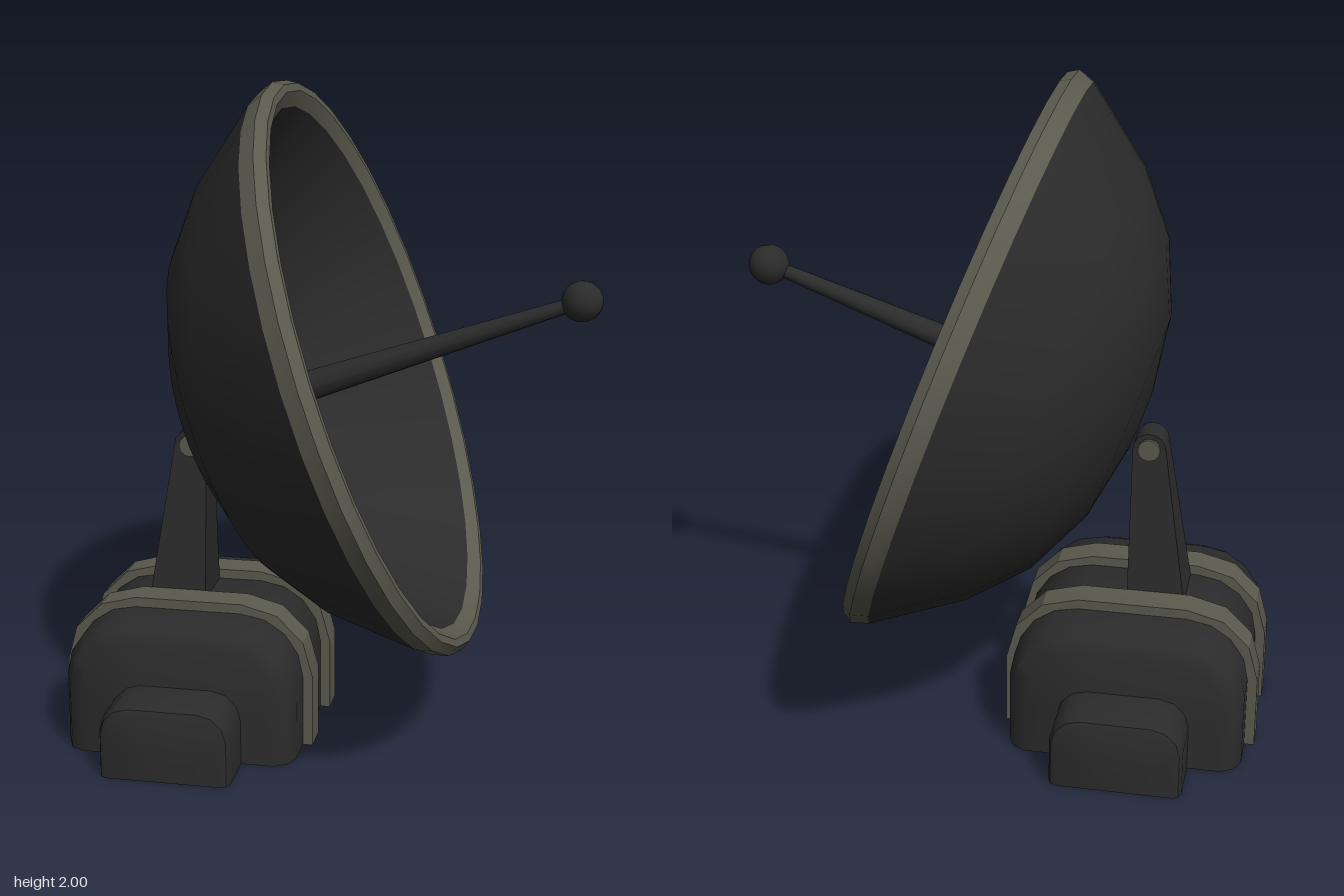
import * as THREE from 'three';
import { toCreasedNormals } from 'three/addons/utils/BufferGeometryUtils.js';

const dark = new THREE.MeshStandardMaterial({ color: 0x2b2b2b, side: THREE.DoubleSide });
const trim = new THREE.MeshStandardMaterial({ color: 0x5a5a4e, side: THREE.DoubleSide });

function add(parent, name, geometry, material, x = 0, y = 0, z = 0) {
  const mesh = new THREE.Mesh(geometry, material);
  mesh.name = name;
  mesh.position.set(x, y, z);
  parent.add(mesh);
  return mesh;
}

// Half outline of a round-shouldered arch, from +x over the top to -x.
function archPoints(halfW, h, r, segs) {
  const pts = [[halfW, 0]];
  for (const side of [1, -1]) {
    for (let k = 0; k <= segs; k++) {
      const a = (side > 0 ? k : segs - k) / segs * Math.PI / 2;
      pts.push([side * (halfW - r + r * Math.cos(a)), h - r + r * Math.sin(a)]);
    }
  }
  pts.push([-halfW, 0]);
  return pts;
}

// Arch shell, open underneath, lofted through [z, inset] stations; inset null closes an end.
function archShell({ halfW, h, r, segs, stations, crease }) {
  const n = 2 * segs + 4;
  const pos = [], index = [];
  for (const [z, inset] of stations) {
    const ring = inset === null
      ? Array(n).fill([0, 0])
      : archPoints(halfW - inset, h - inset, r - inset * 0.5, segs);
    for (const [x, y] of ring) pos.push(x, y, z);
  }
  for (let i = 0; i < stations.length - 1; i++) {
    for (let j = 0; j < n - 1; j++) {
      const a = i * n + j, b = a + 1, c = a + n, d = c + 1;
      if (stations[i][1] !== null) index.push(a, b, c);
      if (stations[i + 1][1] !== null) index.push(b, d, c);
    }
  }
  const g = new THREE.BufferGeometry();
  g.setAttribute('position', new THREE.Float32BufferAttribute(pos, 3));
  g.setIndex(index);
  return toCreasedNormals(g.toNonIndexed(), crease);
}

function lathe(points) {
  return new THREE.LatheGeometry(points.map(([r, s]) => new THREE.Vector2(r, s)), 32);
}

function createBase() {
  const base = new THREE.Group();
  base.name = 'base';
  base.position.x = -0.415;

  // main housing with bevelled ends
  const ends = [[0.355, null], [0.355, 0.06], [0.335, 0.02], [0.29, 0]];
  const bodyStations = [...ends.map(([z, i]) => [-z, i]), ...[...ends].reverse()];
  add(base, 'housing', archShell({
    halfW: 0.355, h: 0.415, r: 0.19, segs: 4, stations: bodyStations, crease: 0.75,
  }), dark);

  for (const side of [1, -1]) {
    // raised band around the housing
    add(base, 'band', archShell({
      halfW: 0.385, h: 0.445, r: 0.22, segs: 3, crease: 0.3,
      stations: [[-0.0475, 0.04], [-0.0475, 0], [0.0475, 0], [0.0475, 0.04]],
    }), trim, 0, 0, side * 0.1425);

    // small pod on each end
    const pod = add(base, 'sidePod', archShell({
      halfW: 0.198, h: 0.23, r: 0.09, segs: 3, crease: 0.75,
      stations: [[0.33, 0], [0.49, 0], [0.512, 0.008], [0.52, 0.025], [0.52, null]],
    }), dark);
    if (side < 0) pod.rotation.y = Math.PI;
  }
  return base;
}

function createArm() {
  const arm = new THREE.Group();
  arm.name = 'arm';

  // post tapering towards the pivot, upright on its dish side
  const post = new THREE.BoxGeometry(1, 1, 1);
  const p = post.attributes.position;
  for (let i = 0; i < p.count; i++) {
    const top = p.getY(i) > 0;
    const x = p.getX(i) > 0 ? -0.385 : (top ? -0.485 : -0.562);
    p.setXYZ(i, x, top ? 0.895 : 0.4, Math.sign(p.getZ(i)) * (top ? 0.045 : 0.097));
  }
  post.computeVertexNormals();
  add(arm, 'post', post, dark);

  // pivot head and its pin
  add(arm, 'pivotHead', new THREE.CylinderGeometry(0.05, 0.05, 0.09, 16), dark,
    -0.435, 0.895).rotation.x = Math.PI / 2;
  add(arm, 'pivotPin', new THREE.CylinderGeometry(0.034, 0.034, 0.11, 12), trim,
    -0.435, 0.895).rotation.x = Math.PI / 2;
  return arm;
}

// Dish built along +y from the rim plane, then tipped towards +x.
function createDish() {
  const dish = new THREE.Group();
  dish.name = 'dish';
  dish.position.set(0.152, 1.172, 0);
  dish.rotation.z = -THREE.MathUtils.degToRad(70);

  add(dish, 'bowlBack', lathe([
    [0, -0.592], [0.1, -0.588], [0.33, -0.55], [0.535, -0.457], [0.697, -0.315], [0.87, -0.08],
  ]), dark);
  add(dish, 'rim', toCreasedNormals(lathe([
    [0.87, -0.08], [0.887, -0.03], [0.868, 0], [0.845, 0], [0.806, -0.03],
  ]).toNonIndexed(), 0.4), trim);
  add(dish, 'bowlFront', lathe([[0.806, -0.03], [0.64, -0.24], [0.47, -0.41]]), dark);
  add(dish, 'innerRing', lathe([[0.47, -0.41], [0.33, -0.475]]), trim);
  add(dish, 'bowlCentre', lathe([[0.33, -0.475], [0.16, -0.51], [0, -0.52]]), dark);

  // feed: hub, tapered rod and ball
  add(dish, 'feedHub', new THREE.SphereGeometry(0.145, 20, 12), dark, 0, -0.46).scale.y = 0.7;
  add(dish, 'feedRod', new THREE.CylinderGeometry(0.02, 0.052, 1.05, 12), dark, 0, 0.085);
  add(dish, 'feedBall', new THREE.SphereGeometry(0.061, 16, 12), dark, 0, 0.618);
  return dish;
}

export function createModel() {
  const model = new THREE.Group();
  model.name = 'dishAntenna';
  model.add(createBase(), createArm(), createDish());
  return model;
}
